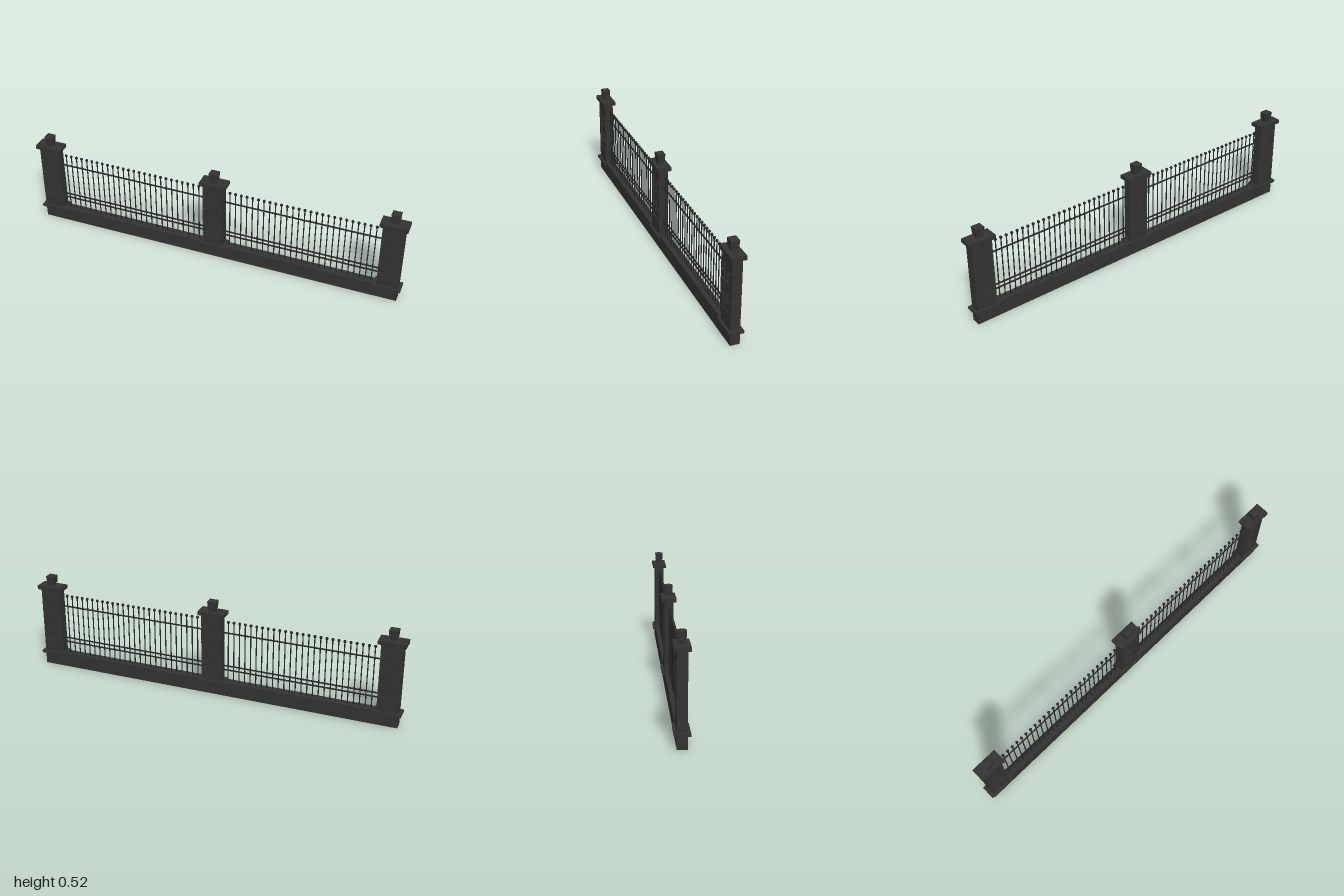
import * as THREE from 'three';

const stone = new THREE.MeshStandardMaterial({ color: 0x333333 });
stone.name = 'dark stone';
const iron = new THREE.MeshStandardMaterial({ color: 0x282828 });
iron.name = 'dark iron';

function add(parent, name, geo, mat, x = 0, y = 0, z = 0) {
  const m = new THREE.Mesh(geo, mat);
  m.name = name;
  m.position.set(x, y, z);
  parent.add(m);
  return m;
}

// Box given by half width, bottom, top and half depth
function block(parent, name, hx, y0, y1, hz, mat = stone, x = 0) {
  return add(parent, name, new THREE.BoxGeometry(hx * 2, y1 - y0, hz * 2), mat, x, (y0 + y1) / 2, 0);
}

// Scrollwork for one panel: a winding stem with a curl and bud in each bend
function createRelief() {
  const g = new THREE.Group();
  g.name = 'panelRelief';
  const pts = [];
  for (let i = 0; i <= 24; i++) {
    const t = i / 24;
    pts.push(new THREE.Vector3(0.024 * Math.sin(t * Math.PI * 4), 0.168 + t * 0.204, 0));
  }
  add(g, 'stem', new THREE.TubeGeometry(new THREE.CatmullRomCurve3(pts), 40, 0.003, 5), stone);
  const curl = new THREE.TorusGeometry(0.013, 0.003, 5, 12, Math.PI * 1.6);
  const bud = new THREE.SphereGeometry(0.005, 6, 4);
  for (let i = 0; i < 4; i++) {
    const s = i % 2 ? 1 : -1;
    const y = 0.1935 + i * 0.051;
    const c = add(g, 'curl', curl, stone, s * 0.013, y, 0);
    c.rotation.z = s > 0 ? 0.6 : Math.PI + 0.6;
    add(g, 'bud', bud, stone, s * 0.013, y, 0);
  }
  return g;
}

function createPillar() {
  const g = new THREE.Group();
  g.name = 'pillar';
  block(g, 'plinth', 0.07, 0.064, 0.078, 0.037);
  block(g, 'core', 0.051, 0.078, 0.44, 0.019);

  // Stone courses with grooves between them, leaving a sunk panel in the middle
  const step = 0.0724, gap = 0.0018;
  for (let i = 0; i < 5; i++) {
    const y0 = 0.078 + i * step + (i ? gap : 0);
    const y1 = 0.078 + (i + 1) * step - (i < 4 ? gap : 0);
    if (i === 0) block(g, 'lowerCourse', 0.055, y0, y1, 0.024);
    else for (const s of [-1, 1]) block(g, 'sideCourse', 0.0095, y0, y1, 0.024, stone, s * 0.0455);
  }
  block(g, 'panelSill', 0.036, 0.152, 0.16, 0.0235);
  block(g, 'panelHead', 0.036, 0.385, 0.44, 0.024);

  // Reliefs on both faces
  const front = createRelief();
  front.position.z = 0.0195;
  const back = createRelief();
  back.rotation.y = Math.PI;
  back.position.z = -0.0195;
  g.add(front, back);

  // Cap and finial
  block(g, 'cap', 0.07, 0.44, 0.46, 0.037);
  block(g, 'finialNeck', 0.016, 0.46, 0.476, 0.015);
  const body = new THREE.CylinderGeometry(0.023 * Math.SQRT2, 0.02 * Math.SQRT2, 0.04, 4);
  body.rotateY(Math.PI / 4);
  body.scale(1, 1, 0.92);
  const flat = body.toNonIndexed();
  flat.computeVertexNormals();
  add(g, 'finialBlock', flat, stone, 0, 0.495, 0);
  const roof = new THREE.ConeGeometry(0.023 * Math.SQRT2, 0.008, 4);
  roof.rotateY(Math.PI / 4);
  roof.scale(1, 1, 0.92);
  const roofFlat = roof.toNonIndexed();
  roofFlat.computeVertexNormals();
  add(g, 'finialTop', roofFlat, stone, 0, 0.519, 0);
  return g;
}

// One bay of railing, centred between two pillars
function createRailing() {
  const g = new THREE.Group();
  g.name = 'railing';
  for (const y of [0.14, 0.163, 0.349]) block(g, 'rail', 0.412, y - 0.003, y + 0.003, 0.003, iron);
  const bar = new THREE.CylinderGeometry(0.003, 0.003, 0.338, 6);
  const knob = new THREE.SphereGeometry(0.008, 8, 6);
  for (let i = 0; i < 26; i++) {
    const x = -0.3795 + i * 0.03036;
    add(g, 'bar', bar, iron, x, 0.241, 0);
    add(g, 'knob', knob, iron, x, 0.41, 0);
  }
  return g;
}

export function createModel() {
  const model = new THREE.Group();
  model.name = 'fence';
  block(model, 'baseWall', 0.985, 0, 0.076, 0.024);
  for (const x of [-0.93, 0, 0.93]) {
    const p = createPillar();
    p.position.x = x;
    model.add(p);
  }
  for (const s of [-1, 1]) {
    const r = createRailing();
    r.position.x = s * 0.4645;
    model.add(r);
  }
  return model;
}
